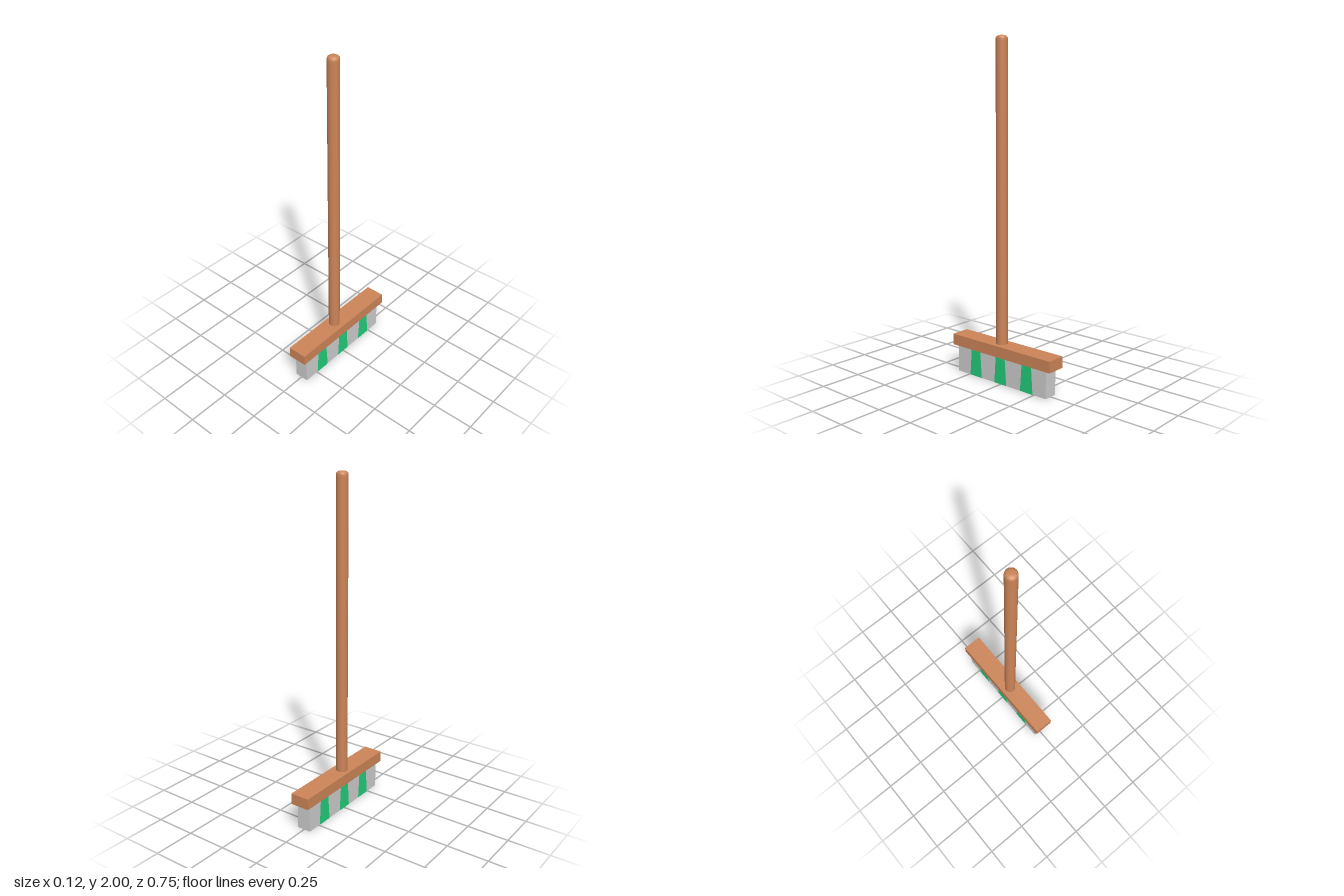
import * as THREE from 'three';

export function createModel() {
  const model = new THREE.Group();
  const wood = new THREE.MeshStandardMaterial({ color: 0xcc8457 });
  wood.name = 'wood';
  const grey = new THREE.MeshStandardMaterial({ color: 0xcccccc });
  grey.name = 'grey bristle';
  const green = new THREE.MeshStandardMaterial({ color: 0x22cc7a });
  green.name = 'green bristle';

  const add = (name, geometry, material, x, y, z) => {
    const mesh = new THREE.Mesh(geometry, material);
    mesh.name = name;
    mesh.position.set(x, y, z);
    model.add(mesh);
    return mesh;
  };

  // Wooden head and bristle block
  add('head', new THREE.BoxGeometry(0.118, 0.067, 0.746), wood, 0, 0.1975, 0);
  add('bristles', new THREE.BoxGeometry(0.086, 0.166, 0.678), grey, 0.001, 0.083, 0.003);

  // Round pole with a softly domed tip, set slightly off centre
  const profile = [[0, 0.2], [0.034, 0.2], [0.034, 0.21], [0.034, 1.97], [0.034, 1.98],
    [0.0325, 1.988], [0.028, 1.994], [0.021, 1.998], [0.011, 2], [0, 2]]
    .map(([r, y]) => new THREE.Vector2(r, y));
  add('handle', new THREE.LatheGeometry(profile, 32), wood, -0.003, 0, 0.031);

  // Tapered green tufts on both long sides
  const tuft = new THREE.Shape([[-0.046, 0], [0.046, 0], [0.034, 0.165], [-0.034, 0.165]]
    .map(([x, y]) => new THREE.Vector2(x, y)));
  const tuftGeometry = new THREE.ExtrudeGeometry(tuft, { depth: 0.003, bevelEnabled: false });
  for (const side of [-1, 1]) {
    for (const z of [-0.195, 0.003, 0.197]) {
      const mesh = add('tuft', tuftGeometry, green, 0.001 + side * 0.0415, 0, z);
      mesh.rotation.y = side * Math.PI / 2;
    }
  }
  return model;
}
